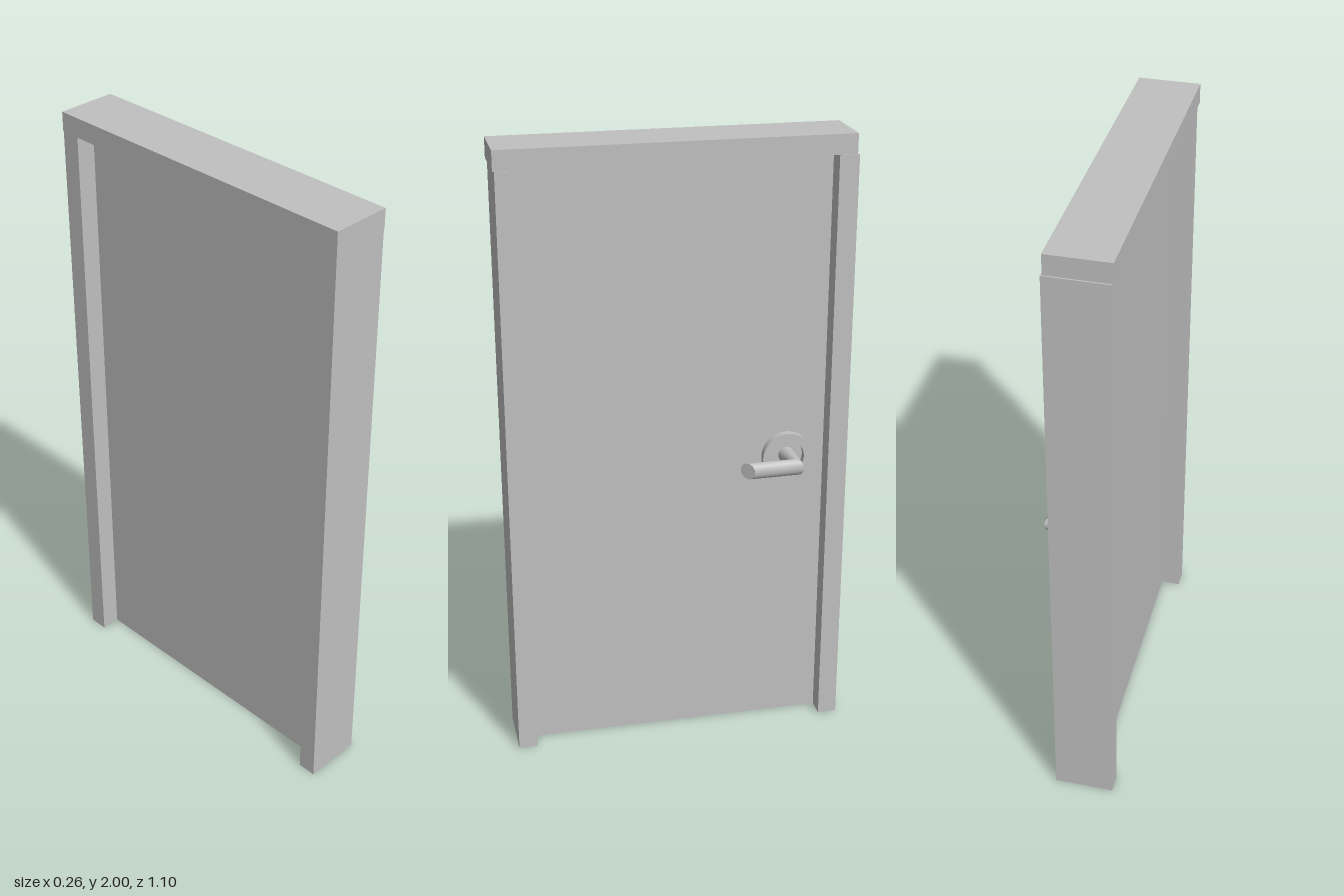
import * as THREE from 'three';
import { toCreasedNormals } from 'three/addons/utils/BufferGeometryUtils.js';

export function createModel() {
  const grey = new THREE.MeshStandardMaterial({ color: 0xc0c0c0 });
  grey.name = 'light grey';
  const model = new THREE.Group();
  model.name = 'door';

  function add(name, geometry, parent = model) {
    const mesh = new THREE.Mesh(geometry, grey);
    mesh.name = name;
    parent.add(mesh);
    return mesh;
  }
  // Box given by its lower and upper corners
  function slab(name, [x0, y0, z0], [x1, y1, z1]) {
    add(name, new THREE.BoxGeometry(x1 - x0, y1 - y0, z1 - z0))
      .position.set((x0 + x1) / 2, (y0 + y1) / 2, (z0 + z1) / 2);
  }

  // Frame: two jambs under a lintel that sits very slightly offset
  slab('jambHandleSide', [-0.127, 0, -0.55], [0.063, 1.937, -0.488]);
  slab('jambHingeSide', [-0.127, 0, 0.485], [0.063, 1.937, 0.545]);
  slab('lintel', [-0.133, 1.937, -0.545], [0.059, 2, 0.55]);

  // Door leaf, recessed from both faces of the frame
  slab('doorLeaf', [-0.064, 0, -0.488], [0.002, 1.937, 0.485]);

  // Handle assembly on the +x face
  const handle = new THREE.Group();
  handle.name = 'handle';
  model.add(handle);
  const y = 0.953;

  // Open ring around the spindle
  const ring = new THREE.Shape().absarc(0, 0, 0.081, 0, Math.PI * 2, false);
  ring.holes.push(new THREE.Path().absarc(0, 0, 0.055, 0, Math.PI * 2, true));
  const rose = new THREE.ExtrudeGeometry(ring, { depth: 0.026, bevelEnabled: false, curveSegments: 32 });
  rose.rotateY(Math.PI / 2);
  add('roseRing', toCreasedNormals(rose, 0.6), handle).position.set(0, y, -0.363);

  // Spindle and lever: round sections, cut diagonally at the elbow and the tip
  const N = 28, R = 0.0265, s = Math.SQRT1_2;
  const sections = [
    { x: 0, z: -0.365, dx: 0, dz: -1 },
    { x: 0.106, z: -0.371, dx: s, dz: -s },
    { x: 0.109, z: -0.21, dx: s, dz: -s },
  ];
  const ringPoints = (c) => Array.from({ length: N }, (_, i) => {
    const a = (i / N) * Math.PI * 2, u = R * Math.cos(a);
    return [c.x + u * c.dx, y + R * Math.sin(a), c.z + u * c.dz];
  });
  function build(points, index) {
    const g = new THREE.BufferGeometry();
    g.setAttribute('position', new THREE.Float32BufferAttribute(points.flat(), 3));
    g.setIndex(index);
    g.computeVertexNormals();
    return g;
  }
  const sides = [], cap = [];
  for (let i = 0; i < N; i++) {
    const j = (i + 1) % N;
    sides.push(i, j, N + i, j, N + j, N + i);
    cap.push(N, i, j);
  }
  ['spindle', 'lever'].forEach((name, k) =>
    add(name, build([...ringPoints(sections[k]), ...ringPoints(sections[k + 1])], sides), handle));
  const tip = sections[2];
  add('leverTip', build([...ringPoints(tip), [tip.x, y, tip.z]], cap), handle);

  return model;
}
